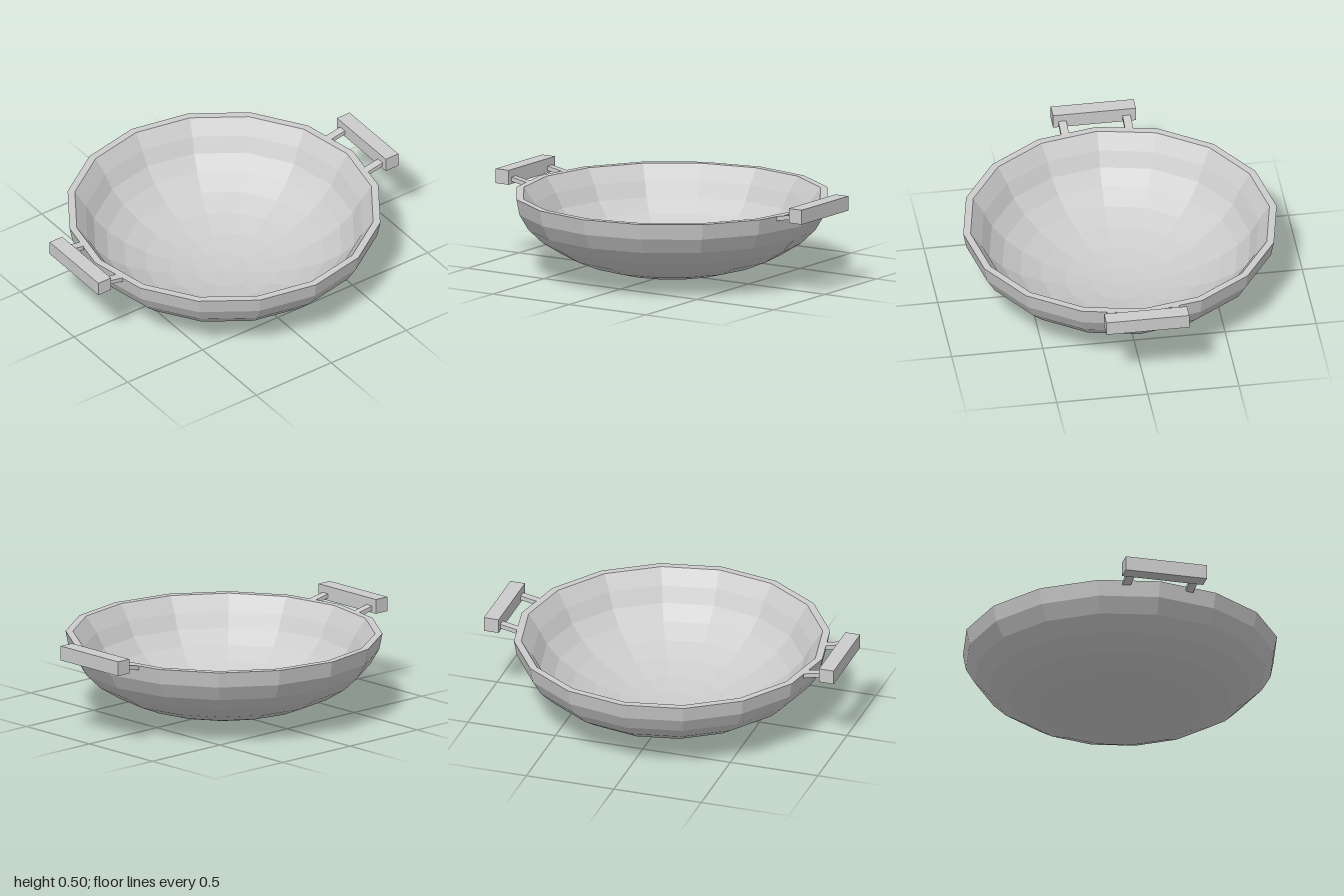
import * as THREE from 'three';

const RIM_Y = 0.445;
const STEPS = 8;

// Rings of a half ellipsoid hanging below the rim, listed from the bottom up
function bowlRings(radius, depth, count) {
  const points = [];
  for (let i = 0; i <= count; i++) {
    const a = (i / STEPS) * Math.PI / 2;
    points.push(new THREE.Vector2(radius * Math.sin(a), RIM_Y - depth * Math.cos(a)));
  }
  return points;
}

export function createModel() {
  const model = new THREE.Group();
  model.name = 'twoHandledPan';
  const material = new THREE.MeshStandardMaterial({ color: 0xcccccc, flatShading: true });

  // Bowl: outer shell up, flat rim, inner shell back down
  const outer = bowlRings(0.86, 0.445, STEPS);
  const inner = bowlRings(0.775, 0.437, STEPS - 1).reverse();
  const profile = [...outer, new THREE.Vector2(0.82, RIM_Y), ...inner];
  const bowl = new THREE.Mesh(new THREE.LatheGeometry(profile, 16), material);
  bowl.name = 'bowl';
  model.add(bowl);

  // Handles: a square grip carried by two slightly rising struts
  for (const side of [1, -1]) {
    const handle = new THREE.Group();
    handle.name = side > 0 ? 'leftHandle' : 'rightHandle';

    const grip = new THREE.Mesh(new THREE.BoxGeometry(0.084, 0.08, 0.455), material);
    grip.name = 'grip';
    grip.position.set(side * 0.958, 0.465, 0);
    handle.add(grip);

    for (const z of [-0.176, 0.176]) {
      const strut = new THREE.Mesh(new THREE.BoxGeometry(0.14, 0.024, 0.044), material);
      strut.name = 'strut';
      strut.position.set(side * 0.87, 0.442, z);
      strut.rotation.z = side * 0.19;
      handle.add(strut);
    }
    model.add(handle);
  }
  return model;
}
